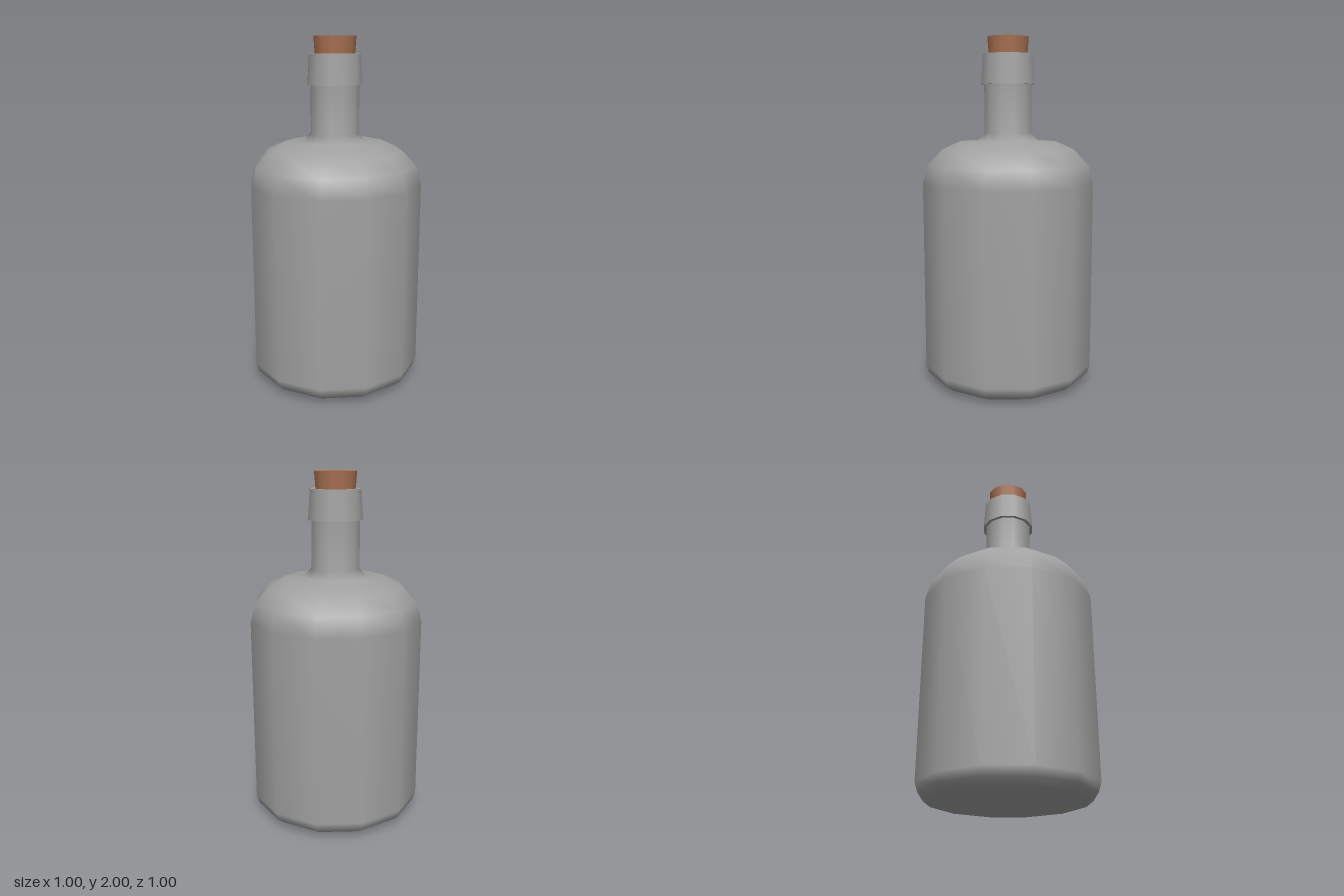
import * as THREE from 'three';

const SIDES = 12;

// Turned surface; each profile is smooth in itself, so edges stay sharp between profiles
function turned(name, profiles, material) {
  const part = new THREE.Group();
  part.name = name;
  profiles.forEach((profile, i) => {
    const points = profile.map(([r, y]) => new THREE.Vector2(r, y));
    const mesh = new THREE.Mesh(new THREE.LatheGeometry(points, SIDES), material);
    mesh.name = `${name}Surface${i + 1}`;
    part.add(mesh);
  });
  return part;
}

export function createModel() {
  const glass = new THREE.MeshStandardMaterial({ color: 0xa1a1a1 });
  const corkMaterial = new THREE.MeshStandardMaterial({ color: 0xa87050 });
  const model = new THREE.Group();
  model.name = 'corkedBottle';

  // Body with rounded base and shoulders, flaring into the neck
  model.add(turned('body', [[
    [0, 0], [0.36, 0.002], [0.44, 0.016], [0.485, 0.05], [0.5, 0.1],
    [0.5, 1.175], [0.472, 1.28], [0.39, 1.365], [0.29, 1.408],
    [0.18, 1.413], [0.14, 1.46], [0.14, 1.74],
  ]], glass));

  // Collar round the mouth: underside, tapered band, rim and inner wall
  model.add(turned('lip', [
    [[0.135, 1.735], [0.158, 1.735]],
    [[0.158, 1.735], [0.147, 1.905]],
    [[0.147, 1.905], [0.121, 1.905]],
    [[0.121, 1.905], [0.113, 1.72]],
  ], glass));

  // Tapered stopper, turned slightly in the mouth
  const cork = turned('cork', [
    [[0, 1.72], [0.1, 1.72]],
    [[0.1, 1.72], [0.121, 2]],
    [[0.121, 2], [0, 2]],
  ], corkMaterial);
  cork.rotation.y = 0.03;
  model.add(cork);

  return model;
}
